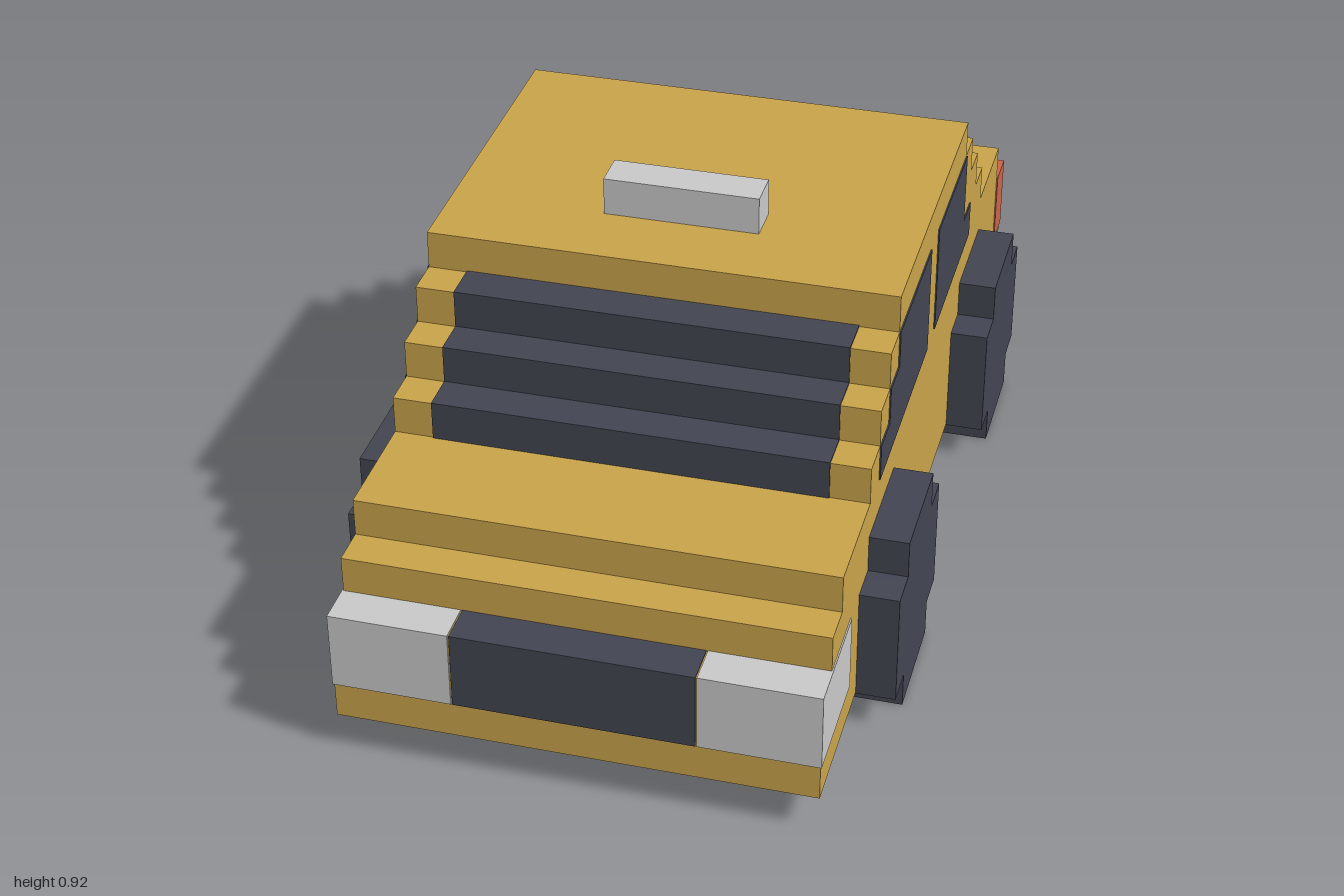
import * as THREE from 'three';

const U = 1 / 12;   // one block
const E = 0.003;    // how far painted details stand proud

const material = (name, color) => {
  const m = new THREE.MeshStandardMaterial({ color });
  m.name = name;
  return m;
};

export function createModel() {
  const yellow = material('yellow paint', 0xc8a349);
  const dark = material('dark slate', 0x424551);
  const pale = material('pale grey', 0xc8c8c8);
  const red = material('tail red', 0xc8644c);

  const car = new THREE.Group();
  car.name = 'blockCar';

  const add = (name, geometry, mat) => {
    const mesh = new THREE.Mesh(geometry, mat);
    mesh.name = name;
    car.add(mesh);
    return mesh;
  };

  // Box from block ranges, optionally grown on each axis
  const block = (name, mat, [x0, x1], [y0, y1], [z0, z1], [gx, gy, gz] = [0, 0, 0]) => {
    const g = new THREE.BoxGeometry(
      (x1 - x0) * U + 2 * gx, (y1 - y0) * U + 2 * gy, (z1 - z0) * U + 2 * gz);
    g.translate((x0 + x1) / 2 * U, (y0 + y1) / 2 * U, (z0 + z1) / 2 * U);
    return add(name, g, mat);
  };

  // Side outline of [z, y] block points, extruded across x from x0 to x1 (world units)
  const profile = (name, mat, points, x0, x1) => {
    const shape = new THREE.Shape(points.map(([z, y]) => new THREE.Vector2(z * U, y * U)));
    const g = new THREE.ExtrudeGeometry(shape, { depth: x1 - x0, bevelEnabled: false });
    g.rotateY(-Math.PI / 2);
    g.translate(x1, 0, 0);
    return add(name, g, mat);
  };

  // Stepped body
  profile('body', yellow, [
    [-12, 1], [12, 1], [12, 4], [11, 4], [11, 5], [10, 5], [10, 6], [7, 6], [7, 7],
    [6, 7], [6, 8], [5, 8], [5, 9], [4, 9], [4, 10], [-5, 10], [-5, 9], [-6, 9],
    [-6, 8], [-7, 8], [-7, 7], [-8, 7], [-8, 6], [-11, 6], [-11, 5], [-12, 5],
  ], -6 * U, 6 * U);

  // Roof sign
  block('roofSign', pale, [-2, 2], [10, 11], [1, 2]);

  // Stepped windscreen and rear window
  for (let i = 0; i < 3; i++) {
    block('windscreenStep', dark, [-5, 5], [6 + i, 7 + i], [5 - i, 7 - i], [0, E, E]);
    block('rearWindowStep', dark, [-5, 5], [6 + i, 7 + i], [-8 + i, -6 + i], [0, E, E]);
  }

  // Grille and rear panel
  block('grille', dark, [-3, 3], [2, 4], [11, 12], [0, E, E]);
  block('rearPanel', dark, [-3, 3], [3, 5], [-12, -11], [0, E, E]);

  const frontGlass = [[0, 6], [6, 6], [6, 7], [5, 7], [5, 8], [4, 8], [4, 9], [0, 9]];
  const rearGlass = [[-6, 6], [-1, 6], [-1, 9], [-5, 9], [-5, 7], [-6, 7]];
  // Plus-shaped wheel; its ledges sit just under the body floor
  const ledge = 1 - E / U;
  const wheel = [
    [-1.5, 0], [1.5, 0], [1.5, ledge], [2.5, ledge], [2.5, 4], [1.5, 4],
    [1.5, 5], [-1.5, 5], [-1.5, 4], [-2.5, 4], [-2.5, ledge], [-1.5, ledge],
  ];

  for (const [side, s] of [['left', 1], ['right', -1]]) {
    const span = (a, b) => (s > 0 ? [a, b] : [-b, -a]);

    // Lamps wrap around the corners
    block(side + 'Headlight', pale, span(3, 6), [2, 4], [9, 12], [0, E, E])
      .geometry.translate(s * E, 0, 0);
    block(side + 'TailLight', red, span(3, 6), [3, 5], [-12, -11], [0, E, E])
      .geometry.translate(s * E, 0, 0);

    // Side windows
    const glassX = span(6 * U - E, 6 * U + E);
    profile(side + 'FrontWindow', dark, frontGlass, ...glassX);
    profile(side + 'RearWindow', dark, rearGlass, ...glassX);

    // Wheels
    for (const [end, z] of [['Front', 5.5], ['Rear', -6.5]]) {
      profile(side + end + 'Wheel', dark, wheel.map(([a, b]) => [a + z, b]),
        ...span(5 * U, 7 * U));
    }
  }

  return car;
}
